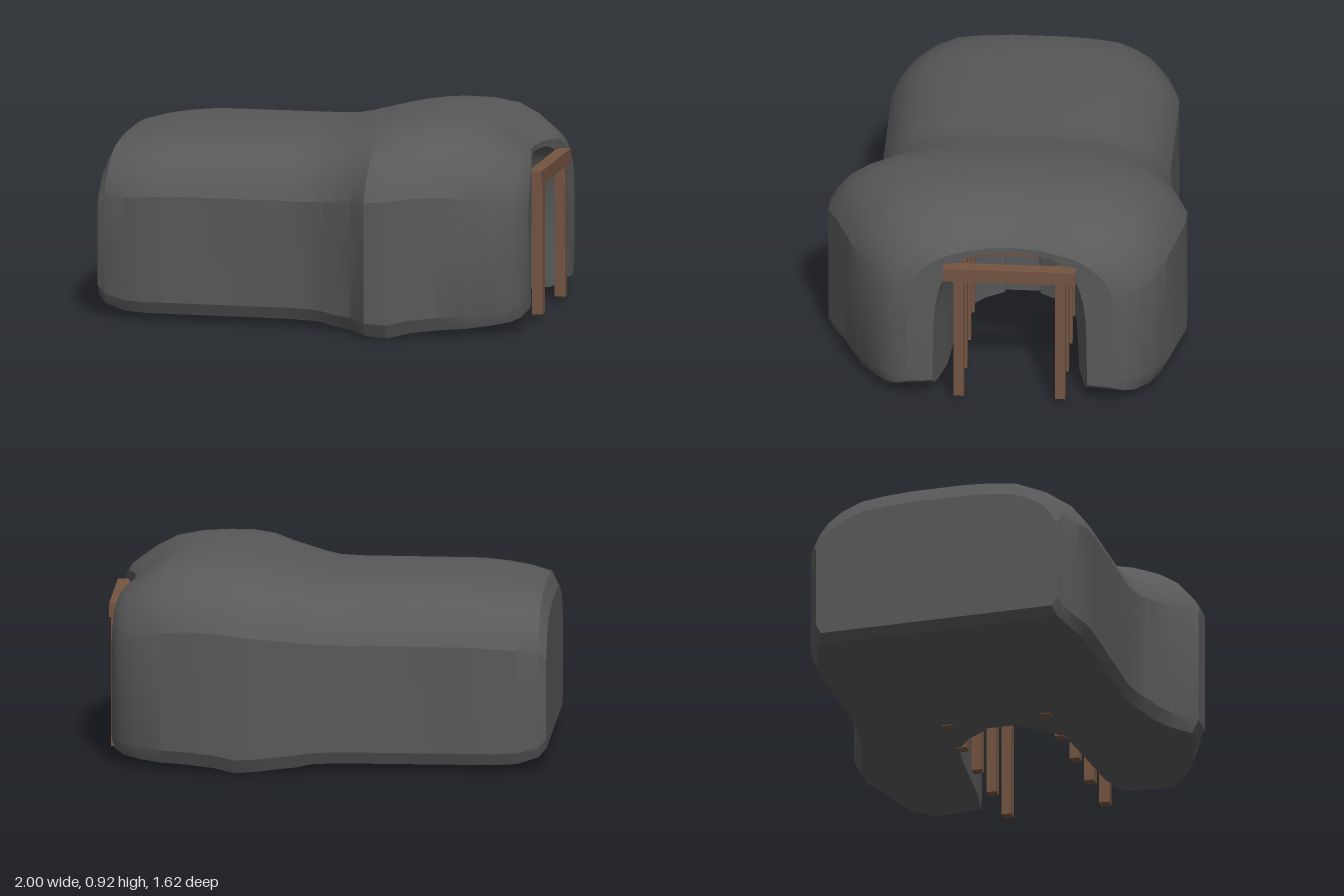
import * as THREE from 'three';
import { toCreasedNormals } from 'three/addons/utils/BufferGeometryUtils.js';

const ROCK = new THREE.MeshStandardMaterial({ color: 0x595959 });
const WOOD = new THREE.MeshStandardMaterial({ color: 0x735441 });
const FLOOR = 0.033;

// Rock cross-sections along x: [x, back z, front z, top y, bottom y]
const BODY = [
  [-1, -0.62, 0.51, 0.7, 0.1], [-0.965, -0.64, 0.53, 0.77, 0.06],
  [-0.87, -0.68, 0.57, 0.795, 0.035], [-0.77, -0.705, 0.595, 0.81, 0.033],
  [-0.65, -0.707, 0.597, 0.822, 0.033], [-0.11, -0.707, 0.597, 0.825, 0.033],
  [0, -0.722, 0.618, 0.828, 0.033], [0.05, -0.733, 0.635, 0.838, 0.032],
];
// Same, plus [tunnel half width, tunnel ceiling y]
const HOLLOW = [
  [0.07, -0.737, 0.645, 0.842, 0.03, 0.08, 0.48], [0.13, -0.755, 0.67, 0.858, 0.02, 0.17, 0.54],
  [0.22, -0.785, 0.72, 0.88, 0.015, 0.24, 0.58], [0.3, -0.813, 0.81, 0.898, 0.008, 0.26, 0.61],
  [0.4, -0.813, 0.81, 0.915, 0, 0.27, 0.64], [0.5, -0.797, 0.765, 0.921, 0.02, 0.28, 0.67],
  [0.62, -0.775, 0.72, 0.92, 0.03, 0.29, 0.7], [0.74, -0.745, 0.665, 0.903, 0.033, 0.3, 0.72],
  [0.84, -0.7, 0.6, 0.86, 0.04, 0.32, 0.735], [0.92, -0.64, 0.54, 0.81, 0.05, 0.335, 0.74],
  [0.96, -0.59, 0.49, 0.785, 0.065, 0.345, 0.74], [0.985, -0.52, 0.42, 0.76, 0.09, 0.35, 0.735],
];
// Half outline: [fraction of half width, fraction of height]
const HALF = [[0.84, 0], [0.96, 0], [1, 0.07], [1, 0.4], [1, 0.69], [0.955, 0.77],
  [0.88, 0.85], [0.77, 0.915], [0.62, 0.968], [0.42, 0.99], [0.2, 1]];
const OUTLINE = [...HALF, [0, 1], ...HALF.slice().reverse().map(([s, t]) => [-s, t])];
const M = OUTLINE.length;

// Draws the rock inward around the tunnel mouth
function point(x, y, z) {
  const k = THREE.MathUtils.smoothstep(x, 0.6, 0.98);
  return [x - 0.085 * k * Math.exp(-(((z + 0.05) / 0.3) ** 2)), y, z];
}

// Closed ring: outer outline, then the tunnel arch in reverse
function section([x, z0, z1, top, bottom, archHalf = 0.08, archTop = 0]) {
  const mid = (z0 + z1) / 2, half = (z1 - z0) / 2;
  const base = Math.max(FLOOR, bottom);
  const outer = OUTLINE.map(([s, t], i) => {
    const edge = i === 0 || i === M - 1;
    return point(x, edge ? base : bottom + (top - bottom) * t, mid + s * half);
  });
  const rise = Math.max(0, archTop - base);
  const arch = OUTLINE.map((_, i) => {
    const a = (Math.PI * i) / (M - 1), c = Math.cos(a);
    const z = -0.05 + archHalf * Math.sign(c) * Math.abs(c) ** 0.5;
    return point(x, base + rise * Math.max(0, Math.sin(a)) ** 0.5, z);
  });
  return [...outer, ...arch.reverse()];
}

function rockGeometry() {
  const rings = [...BODY, ...HOLLOW].map(section);
  const n = 2 * M, index = [];
  const quad = (a, b, c, d) => index.push(a, b, c, c, b, d);
  for (let i = 0; i < rings.length - 1; i++) {
    for (let j = 0; j < n; j++) {
      const k = (j + 1) % n;
      quad(i * n + j, (i + 1) * n + j, i * n + k, (i + 1) * n + k);
    }
  }
  // End faces span between outline and arch
  const last = (rings.length - 1) * n;
  for (let j = 0; j < M - 1; j++) {
    quad(last + j, last + n - 1 - j, last + j + 1, last + n - 2 - j);
    quad(j, j + 1, n - 1 - j, n - 2 - j);
  }
  const g = new THREE.BufferGeometry();
  g.setAttribute('position', new THREE.Float32BufferAttribute(rings.flat(2), 3));
  g.setIndex(index);
  return toCreasedNormals(g, 0.4);
}

function beam(name, w, h, d, x, y, z) {
  const mesh = new THREE.Mesh(new THREE.BoxGeometry(w, h, d), WOOD);
  mesh.name = name;
  mesh.position.set(x, y, z);
  return mesh;
}

// Two posts and a lintel
function timberFrame(x) {
  const frame = new THREE.Group();
  frame.name = 'timberFrame';
  for (const side of [1, -1]) {
    frame.add(beam(side > 0 ? 'frontPost' : 'backPost', 0.048, 0.605, 0.046, 0, 0.3325, -0.05 + side * 0.23));
  }
  frame.add(beam('lintel', 0.06, 0.065, 0.6, 0, 0.665, -0.05));
  frame.position.x = x;
  return frame;
}

export function createModel() {
  const model = new THREE.Group();
  model.name = 'mineEntrance';
  const rock = new THREE.Mesh(rockGeometry(), ROCK);
  rock.name = 'rock';
  model.add(rock);
  // Supports spaced along the tunnel
  for (let i = 0; i < 5; i++) model.add(timberFrame(0.97 - i * 0.246));
  return model;
}
